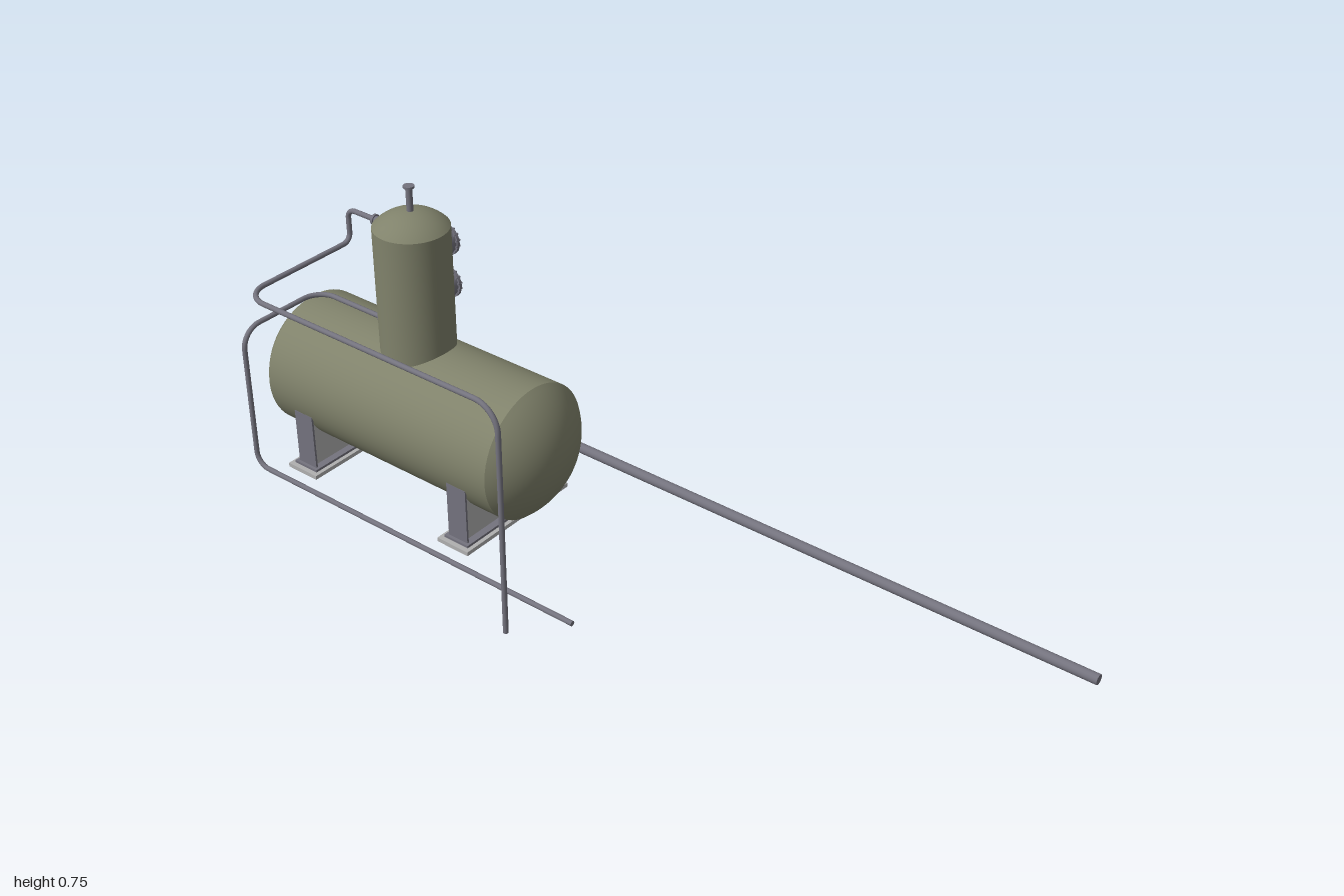
import * as THREE from 'three';

const mat = (name, color, double) => {
  const m = new THREE.MeshStandardMaterial({ color });
  m.name = name;
  if (double) m.side = THREE.DoubleSide;
  return m;
};

export function createModel() {
  const green = mat('olive paint', 0x80826b, true);
  const steel = mat('grey steel', 0x74737e);
  const pale = mat('pale steel', 0xb0b0b0);
  const root = new THREE.Group();
  root.name = 'pressureVessel';
  const V = (x, y, z) => new THREE.Vector3(x, y, z);
  const CX = -0.593, CZ = -0.036; // column axis

  const add = (name, geo, material, x = 0, y = 0, z = 0, parent = root) => {
    const m = new THREE.Mesh(geo, material);
    m.name = name;
    m.position.set(x, y, z);
    parent.add(m);
    return m;
  };
  const rod = (r, len, seg = 24) => new THREE.CylinderGeometry(r, r, len, seg);

  // Shallow spherical cap, rising from y = 0
  const cap = (r, h) => {
    const R = (r * r + h * h) / (2 * h), a = Math.asin(r / R), pts = [];
    for (let i = 0; i <= 14; i++) {
      const t = a * (1 - i / 14);
      pts.push(new THREE.Vector2(R * Math.sin(t), R * Math.cos(t) - R + h));
    }
    return new THREE.LatheGeometry(pts, 64);
  };

  // Horizontal tank
  const x0 = -0.925, x1 = -0.26, ty = 0.208, tr = 0.161;
  add('tankShell', new THREE.CylinderGeometry(tr, tr, x1 - x0, 64, 1, true).rotateZ(Math.PI / 2), green, (x0 + x1) / 2, ty, CZ);
  add('tankEndLeft', cap(tr, 0.075).rotateZ(-Math.PI / 2), green, x1, ty, CZ);
  add('tankEndRight', cap(tr, 0.075).rotateZ(Math.PI / 2), green, x0, ty, CZ);

  // Vertical column with domed top and vent
  add('columnShell', new THREE.CylinderGeometry(0.086, 0.086, 0.335, 64, 1, true), green, CX, 0.4875, CZ);
  add('columnDome', cap(0.086, 0.037), green, CX, 0.655, CZ);
  add('ventPipe', rod(0.0075, 0.065), steel, CX, 0.7155, CZ);
  add('ventFlange', rod(0.0125, 0.005), steel, CX, 0.7485, CZ);

  // Two bolted manways on the back of the column
  for (const y of [0.58, 0.473]) {
    const g = new THREE.Group();
    g.name = 'manway';
    g.position.set(CX, y, CZ);
    root.add(g);
    const turned = (r, len, seg) => rod(r, len, seg).rotateX(Math.PI / 2);
    add('manwayNeck', turned(0.034, 0.065, 40), steel, 0, 0, -0.0725, g);
    add('manwayFlange', turned(0.038, 0.007, 40), steel, 0, 0, -0.1055, g);
    for (let i = 0; i < 16; i++) {
      const a = (i + 0.5) * Math.PI / 8;
      add('bolt', turned(0.0028, 0.013, 6), steel, 0.0355 * Math.cos(a), 0.0355 * Math.sin(a), -0.1055, g);
    }
  }

  // Pipe through corner points, each corner rounded by its own radius
  const pipe = (name, r, points, radii) => {
    const path = new THREE.CurvePath();
    let from = points[0];
    for (let i = 1; i < points.length - 1; i++) {
      const p = points[i], rad = radii[i - 1], k = rad * 0.448;
      const a = points[i - 1].clone().sub(p).normalize();
      const b = points[i + 1].clone().sub(p).normalize();
      const at = (d, s) => p.clone().addScaledVector(d, s);
      path.add(new THREE.LineCurve3(from, at(a, rad)));
      path.add(new THREE.CubicBezierCurve3(at(a, rad), at(a, k), at(b, k), at(b, rad)));
      from = at(b, rad);
    }
    path.add(new THREE.LineCurve3(from, points[points.length - 1]));
    add(name, new THREE.TubeGeometry(path, 300, r, 16), steel);
    // closed ends
    for (const [t, s] of [[0, -1], [1, 1]]) {
      const end = add(name + 'End', new THREE.CircleGeometry(r, 16), steel);
      end.position.copy(path.getPointAt(t));
      end.quaternion.setFromUnitVectors(V(0, 0, 1), path.getTangentAt(t).multiplyScalar(s));
    }
  };

  pipe('upperPipe', 0.006, [V(-0.67, 0.635, CZ), V(-0.787, 0.635, CZ), V(-0.787, 0.555, CZ),
    V(-0.787, 0.555, 0.282), V(-0.07, 0.555, 0.282), V(-0.07, 0, 0.282)], [0.022, 0.022, 0.06, 0.06]);
  pipe('lowerPipe', 0.006, [V(-0.67, 0.388, CZ), V(-0.905, 0.388, CZ), V(-0.905, 0.388, 0.202),
    V(-0.905, 0.03, 0.202), V(0.045, 0.03, 0.202)], [0.05, 0.05, 0.035]);
  pipe('drainPipe', 0.012, [V(-0.67, 0.066, -0.07), V(-0.67, 0.066, -0.277), V(1, 0.066, -0.277)], [0.08]);

  // Flanged nozzles where the thin pipes meet the column
  for (const y of [0.635, 0.388]) {
    add('nozzle', rod(0.009, 0.03).rotateZ(Math.PI / 2), steel, -0.69, y, CZ);
    add('nozzleFlange', rod(0.0125, 0.006).rotateZ(Math.PI / 2), steel, -0.703, y, CZ);
  }

  // Saddles: base plates, web and end plates
  for (const x of [-0.83, -0.355]) {
    const g = new THREE.Group();
    g.name = 'saddle';
    g.position.set(x, 0, CZ);
    root.add(g);
    const box = (name, m, w, h, d, bx, by, bz) => add(name, new THREE.BoxGeometry(w, h, d), m, bx, by, bz, g);
    box('basePlate', pale, 0.09, 0.01, 0.344, 0, 0.005, 0);
    box('upperPlate', steel, 0.07, 0.006, 0.32, 0, 0.013, 0);
    box('web', steel, 0.03, 0.14, 0.3, 0, 0.085, 0);
    box('webFacing', pale, 0.002, 0.14, 0.13, 0.016, 0.085, 0.082);
    for (const s of [-1, 1]) box('endPlate', steel, 0.055, 0.14, 0.005, 0, 0.085, s * 0.15);
  }
  return root;
}
